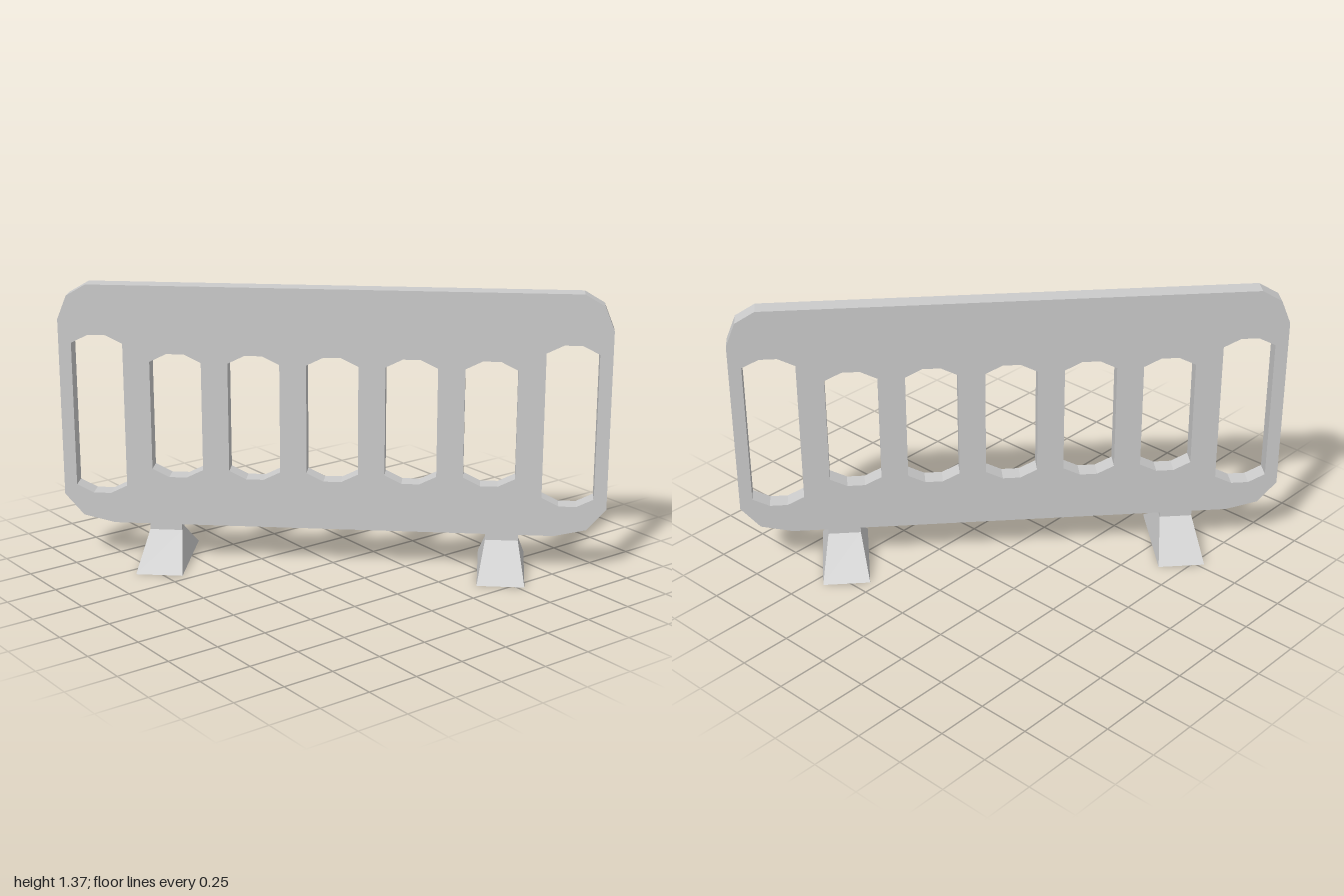
import * as THREE from 'three';

const material = new THREE.MeshStandardMaterial({ color: 0xcccccc, flatShading: true });

// Upright slot with chamfered ends
function slot(cx, bottom, top) {
  const w = 0.123, m = 0.042, c = 0.04;
  return new THREE.Path([
    [-w, bottom + c], [-m, bottom], [m, bottom], [w, bottom + c],
    [w, top - c], [m, top], [-m, top], [-w, top - c],
  ].map(([x, y]) => new THREE.Vector2(cx + x, y)));
}

// Barrier board: chamfered outline with seven slots, the outer two taller
function createBoard() {
  const half = [[1.06, 0.19], [1.212, 0.225], [1.303, 0.33], [1.303, 1.2], [1.257, 1.315], [1.163, 1.37]];
  const outline = [...half, ...half.map(([x, y]) => [-x, y]).reverse()];
  const shape = new THREE.Shape(outline.map(([x, y]) => new THREE.Vector2(x, y)));
  for (let i = -3; i <= 3; i++) {
    const outer = Math.abs(i) === 3;
    shape.holes.push(slot(i * 0.373, outer ? 0.34 : 0.43, outer ? 1.127 : 1.042));
  }
  const depth = 0.088;
  const geometry = new THREE.ExtrudeGeometry(shape, { depth, bevelEnabled: false });
  geometry.translate(0, 0, -depth / 2);
  const board = new THREE.Mesh(geometry, material);
  board.name = 'board';
  return board;
}

// Foot: tapered base under a short neck
function createFoot(x, name) {
  const foot = new THREE.Group();
  foot.name = name;
  const baseHeight = 0.155, neckW = 0.157, neckD = 0.06, baseW = 0.225, baseD = 0.477;

  const geometry = new THREE.BoxGeometry(baseW, baseHeight, baseD);
  geometry.translate(0, baseHeight / 2, 0);
  const p = geometry.attributes.position;
  for (let i = 0; i < p.count; i++) {
    if (p.getY(i) > 0.01) {
      p.setX(i, p.getX(i) * neckW / baseW);
      p.setZ(i, p.getZ(i) * neckD / baseD);
    }
  }
  geometry.computeVertexNormals();
  const base = new THREE.Mesh(geometry, material);
  base.name = 'footBase';

  const neck = new THREE.Mesh(new THREE.BoxGeometry(neckW, 0.035, neckD), material);
  neck.name = 'footNeck';
  neck.position.y = baseHeight + 0.0175;

  foot.add(base, neck);
  foot.position.x = x;
  return foot;
}

export function createModel() {
  const model = new THREE.Group();
  model.name = 'barrier';
  model.add(createBoard(), createFoot(0.813, 'leftFoot'), createFoot(-0.813, 'rightFoot'));
  // The barrier stands diagonally
  model.rotation.y = 0.837;
  const root = new THREE.Group();
  root.add(model);
  return root;
}
